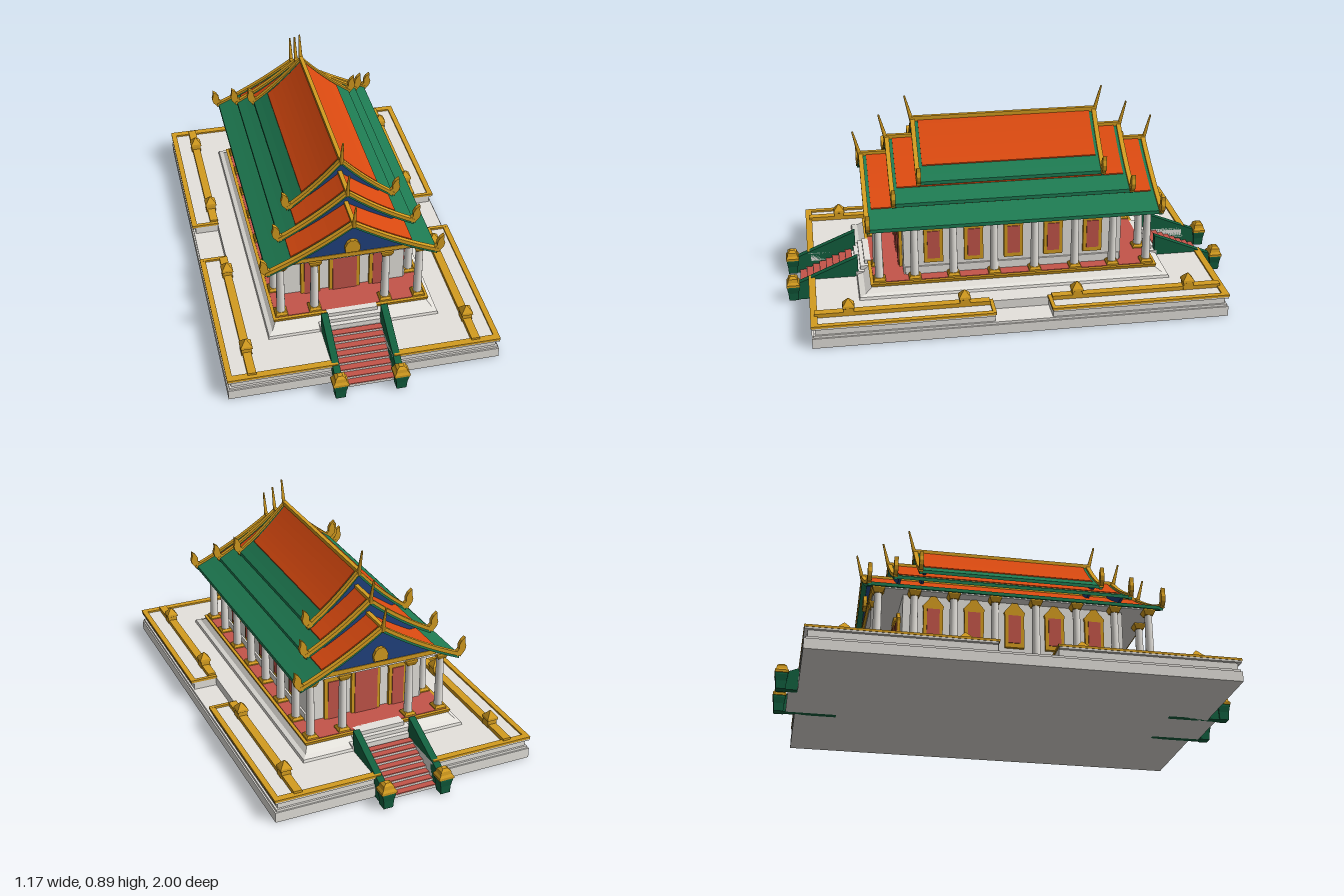
import * as THREE from 'three';

const mat = (name, color, side = THREE.FrontSide) => {
  const m = new THREE.MeshStandardMaterial({ color, side });
  m.name = name;
  return m;
};

export function createModel() {
  const white = mat('white plaster', 0xe6e3dd), gold = mat('gold', 0xd49c1f), red = mat('red', 0xc4554a);
  const green = mat('green tile', 0x1e7b52), darkGreen = mat('dark green', 0x12603f);
  const orange = mat('orange tile', 0xdb4a10), blue = mat('blue', 0x21427f);
  const root = new THREE.Group();
  root.name = 'temple';

  const add = (parent, name, geo, m, x = 0, y = 0, z = 0) => {
    const mesh = new THREE.Mesh(geo, m);
    mesh.name = name;
    mesh.position.set(x, y, z);
    parent.add(mesh);
    return mesh;
  };
  // Box given by its minimum and maximum on each axis
  const box = (parent, name, m, x0, x1, y0, y1, z0, z1) =>
    add(parent, name, new THREE.BoxGeometry(x1 - x0, y1 - y0, z1 - z0), m, (x0 + x1) / 2, (y0 + y1) / 2, (z0 + z1) / 2);
  // Stack of rectangular sections [y, halfX, halfZ], closed at both ends
  const loft = (levels) => {
    const pos = [], idx = [], n = levels.length;
    for (const [y, a, b] of levels) pos.push(-a, y, b, a, y, b, a, y, -b, -a, y, -b);
    for (let i = 0; i < n - 1; i++) {
      for (let j = 0; j < 4; j++) {
        const p = i * 4 + j, q = i * 4 + (j + 1) % 4;
        idx.push(p, q, q + 4, p, q + 4, p + 4);
      }
    }
    const t = (n - 1) * 4;
    idx.push(0, 2, 1, 0, 3, 2, t, t + 1, t + 2, t, t + 2, t + 3);
    const g = new THREE.BufferGeometry();
    g.setAttribute('position', new THREE.Float32BufferAttribute(pos, 3));
    g.setIndex(idx);
    const flat = g.toNonIndexed();
    flat.computeVertexNormals();
    return flat;
  };
  const polygon = (pts) => new THREE.Shape(pts.map(([x, y]) => new THREE.Vector2(x, y)));
  // Polygon in x and y, extruded evenly about z = 0
  const slab = (pts, depth) => new THREE.ExtrudeGeometry(polygon(pts), { depth, bevelEnabled: false }).translate(0, 0, -depth / 2);

  // Terrace: stacked moulding layers with stair notches and side recesses
  const terraceLayer = (y0, y1, inset, recess) => {
    const X = 0.584 - inset, Z = 0.9 - inset, q = [[0.115, 0.7], [0.115, Z], [X, Z]];
    if (recess) q.push([X, 0.125], [0.465, 0.125]);
    const right = [...q, ...q.map(([x, z]) => [x, -z]).reverse()];
    const pts = [...right, ...right.map(([x, z]) => [-x, z]).reverse()];
    add(root, 'terraceLayer', slab(pts, y1 - y0).rotateX(-Math.PI / 2), white, 0, (y0 + y1) / 2, 0);
  };
  terraceLayer(0, 0.045, 0, false);
  terraceLayer(0.045, 0.056, 0.006, false);
  terraceLayer(0.056, 0.086, 0.014, true);
  terraceLayer(0.086, 0.096, 0, true);

  // Plinth, floor and hall
  add(root, 'plinth', loft([[0.09, 0.375, 0.69], [0.108, 0.37, 0.685], [0.115, 0.352, 0.66], [0.14, 0.33, 0.625]]), white);
  add(root, 'plinthRim', loft([[0.138, 0.338, 0.632], [0.152, 0.342, 0.636]]), gold);
  box(root, 'floor', red, -0.328, 0.328, 0.15, 0.155, -0.622, 0.622);
  box(root, 'hallWalls', white, -0.268, 0.268, 0.15, 0.43, -0.485, 0.485);
  box(root, 'wallFoot', white, -0.276, 0.276, 0.15, 0.19, -0.478, 0.478);
  box(root, 'ceiling', white, -0.318, 0.318, 0.424, 0.442, -0.612, 0.612);

  const column = (parent, x, z) => {
    const g = new THREE.Group();
    g.name = 'column';
    g.position.set(x, 0, z);
    parent.add(g);
    add(g, 'columnBase', loft([[0.15, 0.027, 0.027], [0.16, 0.027, 0.027], [0.17, 0.02, 0.02]]), gold);
    add(g, 'columnShaft', new THREE.CylinderGeometry(0.016, 0.019, 0.25, 14), white, 0, 0.285, 0);
    add(g, 'columnCapital', loft([[0.4, 0.018, 0.018], [0.42, 0.027, 0.027], [0.428, 0.027, 0.027]]), gold);
  };
  // Opening facing +z: gold surround with tapered crown and red panel
  const opening = (parent, name, x, z, w, y0, y1, top, turn = 0) => {
    const g = new THREE.Group();
    g.name = name;
    g.position.set(x, 0, z);
    g.rotation.y = turn;
    parent.add(g);
    const f = w + 0.015, h = top - y1;
    add(g, 'surround', slab([[-f, y0], [f, y0], [f, y1], [f + 0.004, y1 + h * 0.25], [w * 0.8, y1 + h * 0.75],
      [w * 0.45, top], [-w * 0.45, top], [-w * 0.8, y1 + h * 0.75], [-f - 0.004, y1 + h * 0.25], [-f, y1]], 0.024), gold);
    box(g, 'panel', red, -w, w, y0 + (y0 > 0.2 ? 0.02 : 0), y1, 0.01, 0.016);
  };

  // Long sides: windows, colonnade and terrace rails, made for +x
  const side = new THREE.Group();
  side.name = 'longSide';
  for (let i = -2; i <= 2; i++) opening(side, 'window', 0.27, i * 0.177, 0.027, 0.21, 0.36, 0.42, Math.PI / 2);
  for (const s of [-1, 1]) {
    for (const z of [0.09, 0.27, 0.44, 0.595]) column(side, 0.302, s * z);
    const rail = (name, x0, x1, y1, z0, z1) =>
      box(side, name, gold, x0, x1, 0.094, y1, Math.min(s * z0, s * z1), Math.max(s * z0, s * z1));
    rail('outerRim', 0.562, 0.586, 0.104, 0.12, 0.9);
    rail('recessRim', 0.462, 0.584, 0.105, 0.12, 0.136);
    rail('innerRail', 0.462, 0.498, 0.114, 0.136, 0.885);
    for (const z of [0.245, 0.74]) {
      add(side, 'railFinial', loft([[0.1, 0.023, 0.023], [0.13, 0.021, 0.021], [0.133, 0.026, 0.026],
        [0.143, 0.024, 0.024], [0.158, 0.012, 0.012], [0.17, 0.002, 0.002]]), gold, 0.48, 0, s * z);
    }
  }
  const otherSide = side.clone();
  otherSide.rotation.y = Math.PI;
  root.add(side, otherSide);

  // Ends: doors, porch columns, stairs and balustrades, made for +z
  const end = new THREE.Group();
  end.name = 'porchEnd';
  opening(end, 'mainDoor', 0, 0.487, 0.053, 0.155, 0.375, 0.432);
  for (let i = 0; i < 8; i++) {
    const front = 0.94 - i * 0.03, top = 0.0125 * (i + 1);
    box(end, 'stairRiser', white, -0.115, 0.115, 0, top, front - 0.031, front);
    box(end, 'stairTread', red, -0.113, 0.113, top, top + 0.004, front - 0.03, front - 0.001);
  }
  for (let i = 0; i < 3; i++) {
    const w = 0.15 - i * 0.02;
    box(end, 'porchStep', white, -w, w, 0.09, 0.12 + i * 0.0175, 0.6, 0.69 - i * 0.02);
  }
  for (const s of [-1, 1]) {
    opening(end, 'sideDoor', s * 0.152, 0.487, 0.027, 0.155, 0.335, 0.385);
    column(end, s * 0.155, 0.595);
    const xs = [s * 0.12, s * 0.584].sort((a, b) => a - b);
    box(end, 'endRim', gold, xs[0], xs[1], 0.094, 0.104, 0.872, 0.902);
    // Sloping balustrade drawn in (z, y) and turned to run along z
    const bal = slab([[-0.96, 0], [-0.96, 0.075], [-0.68, 0.192], [-0.68, 0.09], [-0.72, 0]].reverse(), 0.03);
    add(end, 'balustrade', bal.rotateY(Math.PI / 2), darkGreen, s * 0.13, 0, 0);
    add(end, 'stairPost', loft([[0, 0.021, 0.021], [0.035, 0.023, 0.023], [0.062, 0.029, 0.027], [0.072, 0.029, 0.027]]),
      darkGreen, s * 0.13, 0, 0.971);
    add(end, 'stairPostCap', loft([[0.07, 0.034, 0.029], [0.08, 0.034, 0.029], [0.09, 0.026, 0.023],
      [0.105, 0.022, 0.02], [0.115, 0.01, 0.01]]), gold, s * 0.13, 0, 0.971);
  }
  box(end, 'gableBeam', gold, -0.265, 0.265, 0.438, 0.458, 0.595, 0.624);
  add(end, 'gableOrnament', slab([[-0.03, 0.47], [0.03, 0.47], [0.033, 0.497], [0.022, 0.52], [0.01, 0.53],
    [-0.01, 0.53], [-0.022, 0.52], [-0.033, 0.497]], 0.02), gold, 0, 0, 0.626);

  // Three telescoping roof tiers
  const tiers = [
    { w: 0.365, ridge: 0.625, eave: 0.425, len: 0.645, tile: 0.26, gable: 0.285 },
    { w: 0.29, ridge: 0.698, eave: 0.503, len: 0.528, tile: 0.215, gable: 0.25 },
    { w: 0.228, ridge: 0.778, eave: 0.572, len: 0.412, tile: 0.165, gable: 0.2 },
  ];
  for (const t of tiers) {
    const curve = (x) => {
      const u = Math.abs(x) / t.w;
      return t.ridge - (t.ridge - t.eave) * u - 0.048 * u * (1 - u);
    };
    const line = (x1, off) => Array.from({ length: 17 }, (_, i) => {
      const x = x1 * (1 - i / 8);
      return [x, curve(x) + off];
    });
    const band = (x1, lo, hi) => [...line(x1, hi), ...line(x1, lo).reverse()];
    add(root, 'roofTier', slab(band(t.w, -0.016, 0), t.len * 2 - 0.01), green);
    add(root, 'roofTileField', slab(band(t.tile, -0.002, 0.005), t.len * 2 - 0.056), orange);
    box(root, 'ridge', gold, -0.009, 0.009, t.ridge - 0.01, t.ridge + 0.012, -t.len, t.len);

    const g = new THREE.Group();
    g.name = 'gable';
    end.add(g);
    add(g, 'gablePanel', slab(line(t.gable, -0.014), 0.012), blue, 0, 0, t.len - 0.03);
    add(g, 'bargeboard', slab(band(t.w + 0.008, -0.008, 0.01), 0.02), gold, 0, 0, t.len - 0.005);
    add(g, 'bargeboardTrim', slab(band(t.w, -0.02, -0.006), 0.014), green, 0, 0, t.len - 0.007);
    const spike = add(g, 'ridgeSpike', new THREE.CylinderGeometry(0.004, 0.01, 0.125, 8), gold, 0, t.ridge + 0.047, t.len + 0.012);
    spike.rotation.x = 0.25;
    for (const s of [-1, 1]) {
      const leaf = add(g, 'eaveFinial', slab([[-0.022, 0.008], [-0.008, -0.008], [0.01, -0.004], [0.026, 0.014],
        [0.031, 0.034], [0.025, 0.055], [0.026, 0.077], [0.009, 0.064], [-0.002, 0.045], [-0.002, 0.026]], 0.018), gold,
      s * t.w, t.eave, t.len - 0.005);
      leaf.scale.x = s;
    }
  }
  const backEnd = end.clone();
  backEnd.rotation.y = Math.PI;
  root.add(end, backEnd);
  return root;
}
